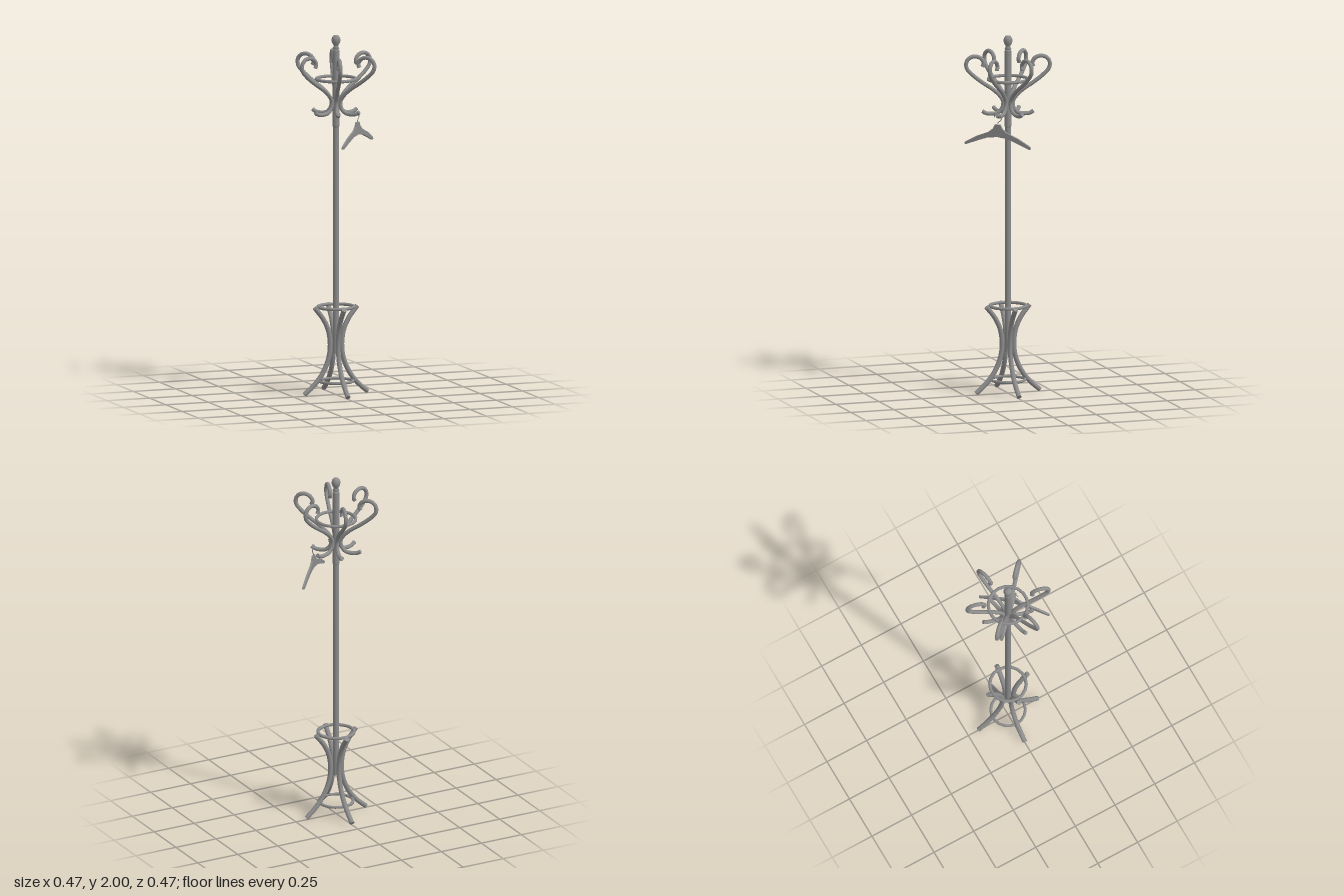
import * as THREE from 'three';

const material = new THREE.MeshStandardMaterial({ color: 0x8c8c8c });

function addMesh(parent, name, geometry) {
  const mesh = new THREE.Mesh(geometry, material);
  mesh.name = name;
  parent.add(mesh);
  return mesh;
}

// Round bar bent along points [radius, height], with flat closed ends
function addBar(parent, name, points, radius, segments) {
  const bar = new THREE.Group();
  bar.name = name;
  const curve = new THREE.CatmullRomCurve3(points.map(([r, y]) => new THREE.Vector3(r, y, 0)));
  addMesh(bar, name + 'Rod', new THREE.TubeGeometry(curve, segments, radius, 10));
  for (const t of [0, 1]) {
    const cap = addMesh(bar, name + 'End', new THREE.CircleGeometry(radius, 10));
    const outward = curve.getTangentAt(t).multiplyScalar(t ? 1 : -1);
    cap.position.copy(curve.getPointAt(t));
    cap.quaternion.setFromUnitVectors(new THREE.Vector3(0, 0, 1), outward);
  }
  parent.add(bar);
  return bar;
}

function addRing(parent, name, radius, y, thickness) {
  const ring = addMesh(parent, name, new THREE.TorusGeometry(radius, thickness, 8, 18));
  ring.rotation.x = Math.PI / 2;
  ring.position.y = y;
}

function makeHanger() {
  const hanger = new THREE.Group();
  hanger.name = 'coatHanger';
  // Wooden shoulders: right half, then mirrored
  const upper = [[0.016, 1.523], [0.028, 1.5], [0.055, 1.479], [0.127, 1.451], [0.197, 1.413]];
  const lower = [[0.201, 1.402], [0.194, 1.398], [0.12, 1.426], [0.06, 1.447]];
  const half = [...upper, ...lower];
  const outline = [...half, [0, 1.454], ...half.map(([x, y]) => [-x, y]).reverse()];
  const shape = new THREE.Shape(outline.map(([x, y]) => new THREE.Vector2(x, y)));
  const wood = addMesh(hanger, 'hangerShoulders',
    new THREE.ExtrudeGeometry(shape, { depth: 0.012, bevelEnabled: false }));
  wood.position.z = -0.006;

  // Wire hook: short stem and an open loop
  const wire = [new THREE.Vector3(0, 1.515, 0), new THREE.Vector3(0, 1.53, 0)];
  for (let i = 0; i <= 10; i++) {
    const a = -Math.PI / 2 + 0.35 + (i / 10) * 4.3;
    wire.push(new THREE.Vector3(0.022 * Math.cos(a), 1.56 + 0.022 * Math.sin(a), 0));
  }
  addMesh(hanger, 'hangerHook',
    new THREE.TubeGeometry(new THREE.CatmullRomCurve3(wire), 32, 0.0025, 6));
  return hanger;
}

export function createModel() {
  const model = new THREE.Group();
  model.name = 'coatStand';

  // Central pole held between the legs, with a slightly thicker upper section
  const pole = [[0, 0.235], [0.0165, 0.235], [0.0165, 1.488], [0.0185, 1.492], [0.0185, 1.915],
    [0.013, 1.922], [0, 1.922]];
  for (let i = 1; i < pole.length; i++) {
    const pair = [pole[i - 1], pole[i]].map(([r, y]) => new THREE.Vector2(r, y));
    addMesh(model, 'pole', new THREE.LatheGeometry(pair, 16));
  }

  // Turned finial
  const finial = [[0.012, 1.918], [0.019, 1.926], [0.012, 1.936], [0.014, 1.943], [0.022, 1.956],
    [0.025, 1.972], [0.022, 1.986], [0.014, 1.996], [0, 2]];
  addMesh(model, 'finial',
    new THREE.LatheGeometry(finial.map(([r, y]) => new THREE.Vector2(r, y)), 16));

  // Four bowed legs
  const leg = [[0.185, 0.011], [0.137, 0.052], [0.087, 0.11], [0.048, 0.19], [0.034, 0.27],
    [0.045, 0.36], [0.077, 0.428], [0.125, 0.489]];
  for (let i = 0; i < 4; i++) {
    addBar(model, 'leg', leg, 0.0135, 24).rotation.y = i * Math.PI / 2;
  }
  addRing(model, 'lowerLegRing', 0.095, 0.077, 0.008);
  addRing(model, 'upperLegRing', 0.1, 0.489, 0.009);

  // Six S-shaped coat hooks: small hook below, large curl above
  const hook = [[0.14, 1.578], [0.12, 1.566], [0.085, 1.563], [0.052, 1.571], [0.031, 1.597],
    [0.027, 1.632], [0.048, 1.667], [0.087, 1.702], [0.139, 1.737], [0.196, 1.782], [0.228, 1.82],
    [0.227, 1.857], [0.204, 1.88], [0.17, 1.883], [0.144, 1.868], [0.133, 1.844], [0.141, 1.826]];
  for (let i = 0; i < 6; i++) {
    addBar(model, 'coatHook', hook, 0.0112, 44).rotation.y = -Math.PI / 4 + i * Math.PI / 3;
  }
  addRing(model, 'hookRing', 0.109, 1.755, 0.009);

  // Hanger resting on the front left hook
  const hanger = makeHanger();
  hanger.position.set(0.091, 0, 0.091);
  hanger.rotation.y = Math.PI / 4;
  model.add(hanger);

  return model;
}
